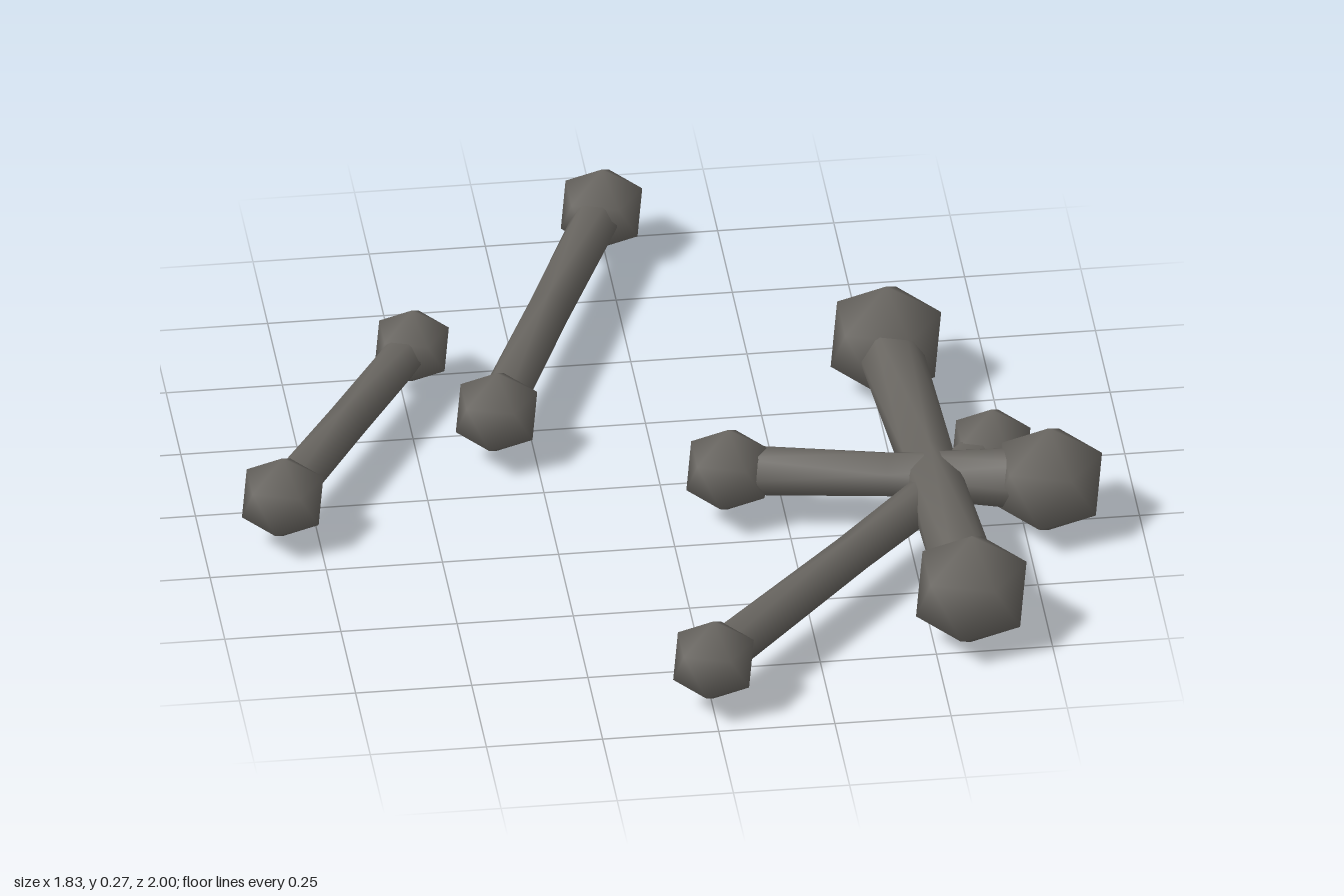
import * as THREE from 'three';

const boneGrey = new THREE.MeshStandardMaterial({ color: 0x696661 });
boneGrey.name = 'bone grey';

// each bone: two knobs as [x, y, z, radius]
const BONES = [
  [[-0.83, 0.125, 0.14, 0.098], [-0.48, 0.125, -0.43, 0.089]],
  [[-0.335, 0.13, -0.135, 0.098], [-0.01, 0.13, -0.92, 0.098]],
  [[0.525, 0.137, -0.31, 0.133], [0.58, 0.137, 0.71, 0.133]],
  [[0.8, 0.136, 0.29, 0.128], [0.125, 0.135, 0.165, 0.1]],
  [[0, 0.128, 0.91, 0.097], [0.695, 0.128, 0.135, 0.095]],
];

// low-poly ball standing on a corner, shaded smooth
function knobGeometry(radius) {
  const g = new THREE.IcosahedronGeometry(radius, 0);
  g.rotateZ(-Math.atan(2 / (1 + Math.sqrt(5))));
  const p = g.attributes.position;
  const v = new THREE.Vector3();
  for (let i = 0; i < p.count; i++) {
    v.fromBufferAttribute(p, i).normalize();
    g.attributes.normal.setXYZ(i, v.x, v.y, v.z);
  }
  return g;
}

// six-sided shaft: the middle ring is narrower and turned half a side
function shaftGeometry(a, b, ra, rb) {
  const SIDES = 6;
  const axis = b.clone().sub(a).normalize();
  const side = new THREE.Vector3(0, 1, 0).cross(axis).normalize();
  const up = axis.clone().cross(side);
  const positions = [];
  const index = [];
  const rings = [[0, ra, 0], [0.5, (ra + rb) / 2 * 0.86, 0.5], [1, rb, 0]];
  for (const [t, r, turn] of rings) {
    for (let i = 0; i < SIDES; i++) {
      const angle = (i + turn) / SIDES * Math.PI * 2;
      const p = a.clone().lerp(b, t)
        .addScaledVector(side, r * Math.cos(angle))
        .addScaledVector(up, r * Math.sin(angle));
      positions.push(p.x, p.y, p.z);
    }
  }
  for (let i = 0; i < SIDES; i++) {
    const j = (i + 1) % SIDES;
    const m = SIDES, e = SIDES * 2;
    index.push(i, j, m + i, j, m + j, m + i);
    index.push(m + i, e + j, e + i, m + i, m + j, e + j);
  }
  const g = new THREE.BufferGeometry();
  g.setAttribute('position', new THREE.Float32BufferAttribute(positions, 3));
  g.setIndex(index);
  g.computeVertexNormals();
  return g;
}

export function createModel() {
  const model = new THREE.Group();
  model.name = 'scatteredBones';
  BONES.forEach((ends, n) => {
    const bone = new THREE.Group();
    bone.name = `bone${n + 1}`;
    const centres = ends.map(([x, y, z]) => new THREE.Vector3(x, y, z));

    // knobs
    ends.forEach((end, k) => {
      const knob = new THREE.Mesh(knobGeometry(end[3]), boneGrey);
      knob.name = k ? 'farKnob' : 'nearKnob';
      knob.position.copy(centres[k]);
      bone.add(knob);
    });

    // shaft
    const shaft = new THREE.Mesh(
      shaftGeometry(centres[0], centres[1], ends[0][3] * 0.54, ends[1][3] * 0.54), boneGrey);
    shaft.name = 'shaft';
    bone.add(shaft);
    model.add(bone);
  });
  return model;
}
